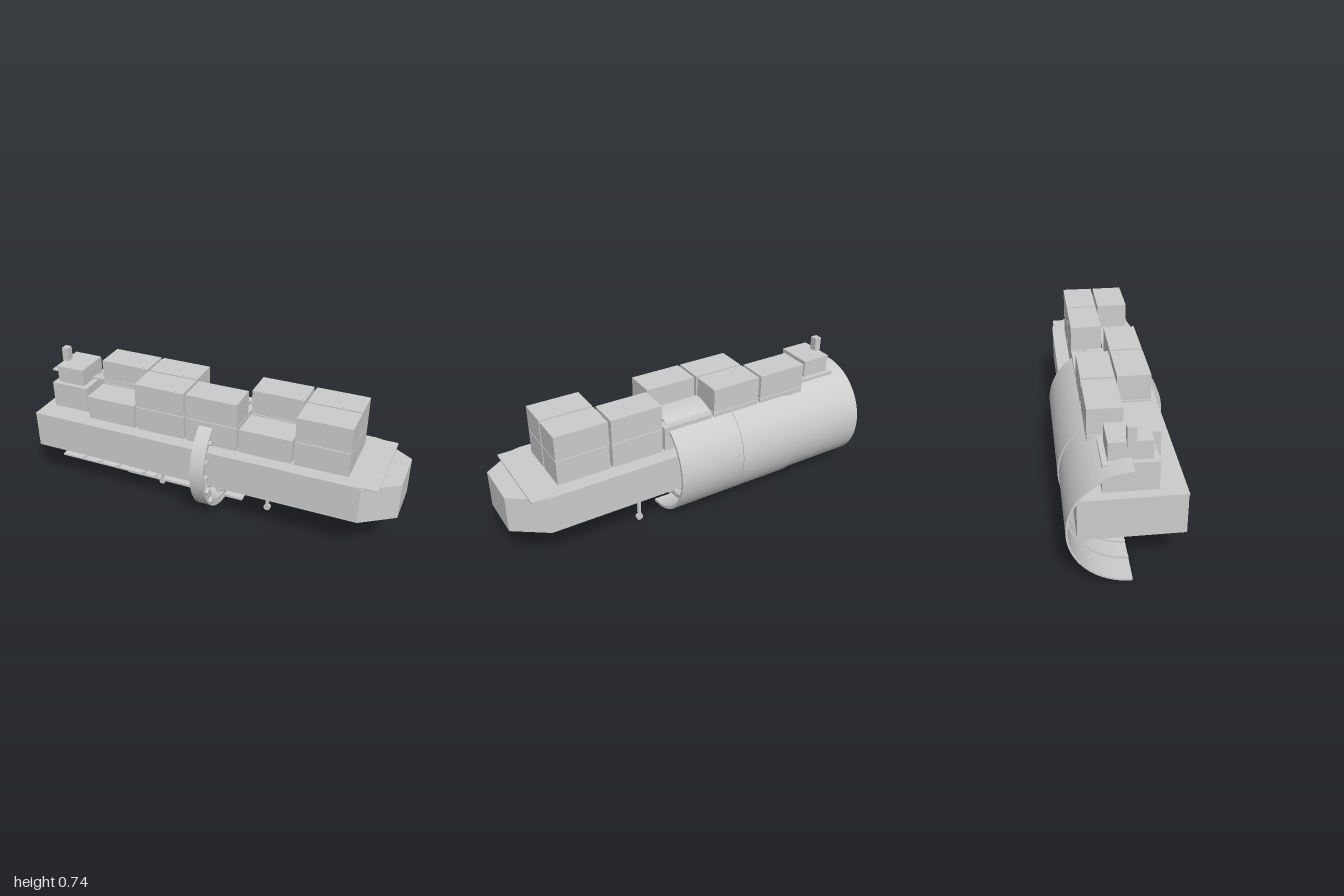
import * as THREE from 'three';
import { toCreasedNormals } from 'three/addons/utils/BufferGeometryUtils.js';

export function createModel() {
  const model = new THREE.Group();
  const grey = new THREE.MeshStandardMaterial({ color: 0xcccccc });
  grey.name = 'lightGrey';
  const AXIS_Y = 0.294; // height of the bore axis

  function add(name, geometry, parent = model) {
    const mesh = new THREE.Mesh(geometry, grey);
    mesh.name = name;
    parent.add(mesh);
    return mesh;
  }
  // box given by its limits on each axis
  function box(name, x0, x1, y0, y1, z0, z1, parent = model) {
    const mesh = add(name, new THREE.BoxGeometry(x1 - x0, y1 - y0, z1 - z0), parent);
    mesh.position.set((x0 + x1) / 2, (y0 + y1) / 2, (z0 + z1) / 2);
    return mesh;
  }
  // curved band about the bore axis; angles 0 = back, 90 = up, 180 = front
  function band(name, x0, x1, r0, r1, from, to) {
    const a = THREE.MathUtils.degToRad(from), b = THREE.MathUtils.degToRad(to);
    const s = new THREE.Shape();
    s.absarc(0, 0, r1, a, b, false);
    if (r0 > 0) s.absarc(0, 0, r0, b, a, true);
    const g = new THREE.ExtrudeGeometry(s, { depth: x1 - x0, bevelEnabled: false, curveSegments: 40 });
    g.rotateY(Math.PI / 2);
    const mesh = add(name, toCreasedNormals(g, 0.5));
    mesh.position.set(x0, AXIS_Y, 0);
    return mesh;
  }
  // plate outlined in x and z, raised from y0 to y1
  function plate(name, points, y0, y1) {
    const s = new THREE.Shape(points.map(([x, z]) => new THREE.Vector2(x, -z)));
    const g = new THREE.ExtrudeGeometry(s, { depth: y1 - y0, bevelEnabled: false });
    g.rotateX(-Math.PI / 2);
    add(name, g).position.y = y0;
  }

  // hull with chamfered bow, and the deck overhanging it
  plate('hull', [[-0.97, 0.237], [0.83, 0.237], [1, 0.12], [1, -0.12], [0.83, -0.237], [-0.97, -0.237]], 0.228, 0.422);
  plate('deck', [[-0.97, 0.24], [0.79, 0.24], [0.84, 0.23], [0.91, 0.23],
    [0.91, -0.23], [0.84, -0.23], [0.79, -0.24], [-0.97, -0.24]], 0.422, 0.43);

  // cargo containers, some upper ones left out
  for (let col = 0; col < 5; col++) {
    for (const row of [0, 1]) {
      for (const level of [0, 1]) {
        const missing = row === 0 ? col === 0 || col === 3 : col === 2;
        if (level === 1 && missing) continue;
        const x = -0.672 + col * 0.288, y = 0.43 + level * 0.133, z = row === 0 ? 0.007 : -0.166;
        box('container', x, x + 0.274, y, y + 0.129, z, z + 0.162);
      }
    }
  }

  // stern house and funnel
  box('sternHouse', -0.92, -0.71, 0.43, 0.57, -0.125, 0.12);
  box('bridge', -0.895, -0.74, 0.57, 0.65, -0.1, 0.095);
  box('bridgeRoof', -0.9, -0.74, 0.65, 0.662, -0.1, 0.095);
  box('funnel', -0.908, -0.872, 0.64, 0.735, -0.02, 0.02);

  // half tube shell in three sections
  band('shellRear', -1, -0.56, 0.278, 0.288, -90, 90);
  band('shellMiddle', -0.56, -0.222, 0.28, 0.294, -90, 90);
  band('shellSeam', -0.222, -0.218, 0.28, 0.29, -90, 90);
  band('shellFront', -0.218, 0.15, 0.28, 0.294, -90, 90);
  for (const x of [-0.86, -0.75, -0.63, -0.46, -0.38]) {
    band('shellRib', x - 0.008, x + 0.008, 0.268, 0.28, -90, 90);
  }

  // cutting head: rims, bulkhead and drum
  band('frontRim', -0.025, 0.05, 0.278, 0.294, 124, 270);
  band('frontFlange', -0.02, 0.045, 0.258, 0.279, 124, 270);
  band('backFlange', -0.02, 0.045, 0.258, 0.281, -90, 90);
  band('bulkhead', -0.012, 0, 0, 0.26, -90, 90);
  for (const [name, x, length, radius] of [['drum', -0.09, 0.14, 0.155], ['drumNeck', -0.2, 0.08, 0.115]]) {
    const g = new THREE.CylinderGeometry(radius, radius, length, 48);
    g.rotateZ(Math.PI / 2);
    add(name, g).position.set(x, AXIS_Y, 0);
  }

  // rim teeth
  for (let i = 0; i < 18; i++) {
    const angle = i * 20;
    if (angle > 50 && angle < 130) continue;
    const holder = new THREE.Group();
    holder.name = 'rimTooth';
    holder.position.y = AXIS_Y;
    holder.rotation.x = THREE.MathUtils.degToRad(angle);
    box('tooth', 0.035, 0.064, -0.01, 0.01, 0.258, 0.286, holder);
    model.add(holder);
  }

  // six cutter arms, each with paired bars and staggered disc cutters
  const discGeometry = new THREE.CylinderGeometry(0.024, 0.024, 0.02, 24);
  discGeometry.rotateZ(Math.PI / 2);
  for (let i = 0; i < 6; i++) {
    const arm = new THREE.Group();
    arm.name = 'cutterArm';
    arm.position.y = AXIS_Y;
    arm.rotation.x = i * Math.PI / 3;
    for (const side of [-1, 1]) {
      const z = side * 0.018;
      box('armBar', 0.005, 0.035, -0.27, -0.05, z - 0.006, z + 0.006, arm);
      for (const r of side > 0 ? [0.1, 0.2] : [0.15, 0.25]) {
        add('discCutter', discGeometry, arm).position.set(0.04, -r, z);
      }
    }
    model.add(arm);
  }

  // rails under the hull with wheeled legs
  for (const z of [0.066, -0.138]) {
    box('rail', -0.34, 0.36, 0.215, 0.228, z - 0.009, z + 0.009);
    for (const x of [-0.3, 0.32]) {
      box('leg', x - 0.008, x + 0.008, 0.06, 0.22, z - 0.007, z + 0.007);
      const wheel = new THREE.CylinderGeometry(0.018, 0.018, 0.018, 24);
      wheel.rotateX(Math.PI / 2);
      add('wheel', wheel).position.set(x, 0.056, z);
    }
  }

  // service platform with equipment inside the shell
  box('platform', -0.79, -0.2, 0.127, 0.138, -0.21, -0.08);
  for (const [x0, x1] of [[-0.76, -0.67], [-0.58, -0.5], [-0.48, -0.38]]) {
    box('equipment', x0, x1, 0.138, 0.228, -0.19, -0.1);
  }
  return model;
}
